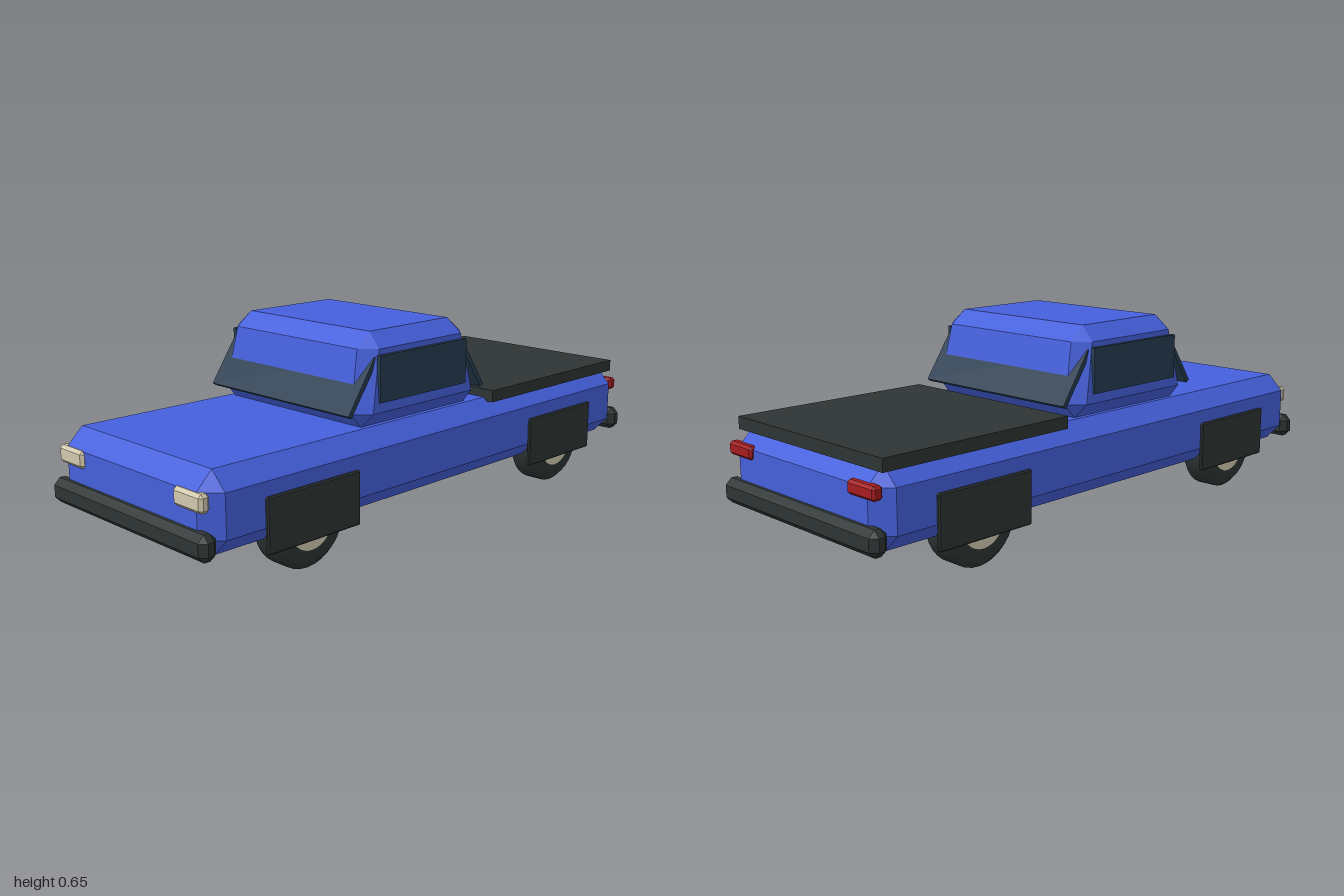
import * as THREE from 'three';
import { ConvexGeometry } from 'three/addons/geometries/ConvexGeometry.js';

const material = (name, color) => {
  const m = new THREE.MeshStandardMaterial({ color });
  m.name = name;
  return m;
};

// Box with cut edges; taperX and taperZ shrink the half sizes per unit of height
function chamferBox(w, h, d, c, taperX = 0, taperZ = 0) {
  const points = [];
  for (const sx of [-1, 1]) for (const sy of [-1, 1]) for (const sz of [-1, 1]) {
    for (let axis = 0; axis < 3; axis++) {
      const y = sy * (h / 2 - (axis === 1 ? 0 : c));
      const x = w / 2 - y * taperX - (axis === 0 ? 0 : c);
      const z = d / 2 - y * taperZ - (axis === 2 ? 0 : c);
      points.push(new THREE.Vector3(sx * x, y, sz * z));
    }
  }
  return new ConvexGeometry(points);
}

export function createModel() {
  const paint = material('blue paint', 0x4560dc);
  const trim = material('dark trim', 0x2d3534);
  const glass = material('tinted glass', 0x263c50);
  const cream = material('cream', 0xd2c9ae);
  const red = material('red lamp', 0xa51c20);

  const truck = new THREE.Group();
  truck.name = 'pickupTruck';
  const add = (name, geometry, mat, x, y, z, parent = truck) => {
    const mesh = new THREE.Mesh(geometry, mat);
    mesh.name = name;
    mesh.position.set(x, y, z);
    parent.add(mesh);
    return mesh;
  };

  // Body, cab and bed cover
  add('body', chamferBox(0.75, 0.245, 1.94, 0.055), paint, 0, 0.2425, 0);
  add('cab', chamferBox(0.674, 0.287, 0.514, 0.047, 0.079, 0.21), paint, 0, 0.5065, 0.0925);
  add('bedCover', new THREE.BoxGeometry(0.715, 0.04, 0.71), trim, 0, 0.373, -0.59);

  // Sloping front and rear windows
  for (const s of [1, -1]) {
    const pane = add(s > 0 ? 'windshield' : 'rearWindow',
      new THREE.BoxGeometry(0.65, 0.2, 0.016), glass, 0, 0.493, 0.0925 + s * 0.253);
    pane.rotation.x = -s * 0.595;
  }

  // Bumpers
  for (const s of [1, -1]) {
    add(s > 0 ? 'frontBumper' : 'rearBumper',
      chamferBox(0.76, 0.08, 0.06, 0.02), trim, 0, 0.165, s * 0.97);
  }

  // Tyre and hub turned about the wheel axle
  const tyreProfile = [[0.075, -0.053], [0.123, -0.053], [0.143, -0.033],
    [0.143, 0.033], [0.123, 0.053], [0.075, 0.053]];
  const tyreGeometry = new THREE.LatheGeometry(
    tyreProfile.map(([r, y]) => new THREE.Vector2(r, y)), 32).rotateZ(Math.PI / 2);
  const hubGeometry = new THREE.CylinderGeometry(0.083, 0.083, 0.109, 32).rotateZ(Math.PI / 2);
  const flapGeometry = chamferBox(0.014, 0.17, 0.36, 0.004);

  for (const s of [1, -1]) {
    const side = s > 0 ? 'left' : 'right';
    add(side + 'SideWindow', new THREE.BoxGeometry(0.014, 0.146, 0.4), glass, s * 0.34, 0.513, 0.095);
    add(side + 'Headlight', chamferBox(0.128, 0.056, 0.035, 0.01), cream, s * 0.289, 0.284, 0.9635);
    add(side + 'TailLight', chamferBox(0.122, 0.042, 0.035, 0.008), red, s * 0.301, 0.3, -0.9635);

    for (const e of [1, -1]) {
      const end = e > 0 ? 'Front' : 'Rear';
      const wheel = new THREE.Group();
      wheel.name = side + end + 'Wheel';
      wheel.position.set(s * 0.3125, 0.143, e * 0.598);
      truck.add(wheel);
      add('tyre', tyreGeometry, trim, 0, 0, 0, wheel);
      add('hub', hubGeometry, cream, 0, 0, 0, wheel);
      add(side + end + 'WheelCover', flapGeometry, trim, s * 0.378, 0.18, e * 0.597);
    }
  }
  return truck;
}
